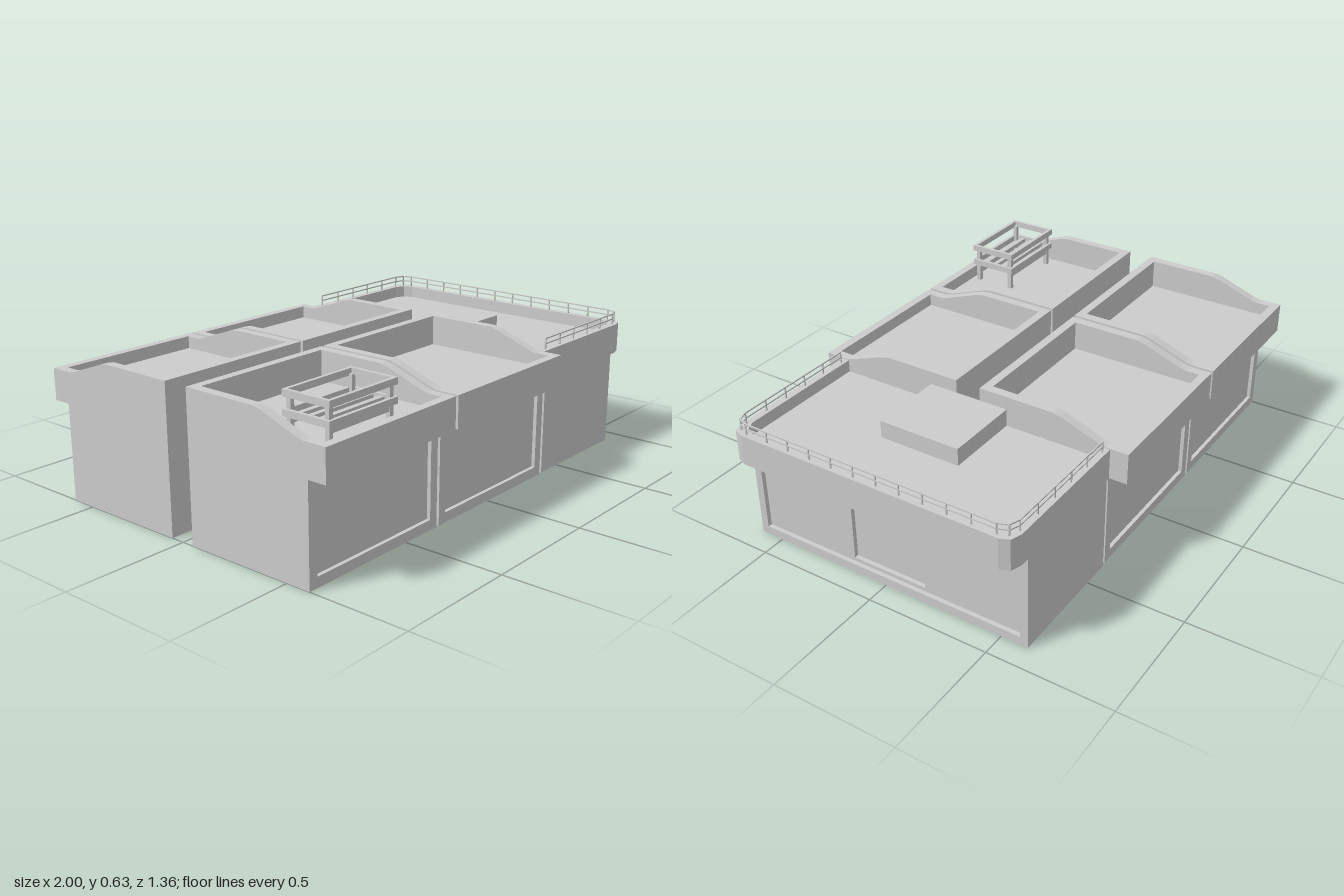
import * as THREE from 'three';

const grey = new THREE.MeshStandardMaterial({ color: 0xcccccc, flatShading: true });

function add(parent, name, geometry) {
  const mesh = new THREE.Mesh(geometry, grey);
  mesh.name = name;
  parent.add(mesh);
  return mesh;
}

// Box given by its limits on each axis
function box(parent, name, x0, x1, y0, y1, z0, z1) {
  const mesh = add(parent, name, new THREE.BoxGeometry(x1 - x0, y1 - y0, z1 - z0));
  mesh.position.set((x0 + x1) / 2, (y0 + y1) / 2, (z0 + z1) / 2);
  return mesh;
}

function polygon(points) {
  return new THREE.Shape(points.map(([x, y]) => new THREE.Vector2(x, y)));
}

function extrude(shape, depth) {
  return new THREE.ExtrudeGeometry(shape, { depth, bevelEnabled: false });
}

function rect(x0, x1, y0, y1) {
  return polygon([[x0, y0], [x1, y0], [x1, y1], [x0, y1]]);
}

// Flat wall frame with a rectangular opening
function frame(outer, hole, depth) {
  const shape = rect(...outer);
  shape.holes.push(rect(...hole));
  return extrude(shape, depth);
}

// One shop facing +z, centred on x
function makeShop(name) {
  const shop = new THREE.Group();
  shop.name = name;
  const w = 0.338;
  box(shop, 'shopBody', -w, w, 0, 0.46, 0.05, 0.585);
  add(shop, 'windowFrame', frame([-w, w, 0, 0.385], [-0.3, 0.3, 0.04, 0.35], 0.015))
    .position.z = 0.585;
  box(shop, 'overhang', -w, w, 0.385, 0.46, 0.585, 0.675);
  box(shop, 'frontParapet', -w, w, 0.46, 0.51, 0.64, 0.675);
  box(shop, 'rearParapet', -w, w, 0.46, 0.58, 0.05, 0.085);
  // Side parapets step down toward the street
  const side = polygon([[-0.05, 0.46], [-0.05, 0.58], [-0.365, 0.58], [-0.4, 0.572],
    [-0.555, 0.516], [-0.58, 0.51], [-0.675, 0.51], [-0.675, 0.46]]);
  for (const x of [-w, w - 0.038]) {
    const wall = add(shop, 'sideParapet', extrude(side, 0.038));
    wall.rotation.y = Math.PI / 2;
    wall.position.x = x;
  }
  return shop;
}

// Corner building with a chamfered, railed roof
function makeCornerBuilding() {
  const g = new THREE.Group();
  g.name = 'cornerBuilding';
  const h = 0.603;
  box(g, 'cornerBody', 0.385, 0.87, 0, 0.385, -h, h);

  // Street wall in two layers: window opening, then the deeper doorway
  const layers = [
    ['doorwayWall', [-0.16, 0.16, 0.05, 0.335], 0.87],
    ['windowFrame', [-0.572, 0.572, 0.035, 0.35], 0.8875],
  ];
  for (const [name, hole, x] of layers) {
    const wall = add(g, name, frame([-h, h, 0, 0.385], hole, 0.0175));
    wall.rotation.y = Math.PI / 2;
    wall.position.x = x;
  }
  box(g, 'doorTrim', 0.87, 0.892, 0.331, 0.337, -0.042, 0.042);

  // Roof slab and three-sided parapet
  const outer = [[0.37, -h], [0.94, -h], [0.985, -0.588], [1, -0.55],
    [1, 0.55], [0.985, 0.588], [0.94, h], [0.37, h]];
  const inner = [[0.37, 0.573], [0.915, 0.573], [0.955, 0.555], [0.97, 0.515],
    [0.97, -0.515], [0.955, -0.555], [0.915, -0.573], [0.37, -0.573]];
  const parts = [
    ['roofSlab', outer, 0.385, 0.075],
    ['cornerParapet', [...outer, ...inner], 0.46, 0.05],
  ];
  for (const [name, points, y, height] of parts) {
    const part = add(g, name, extrude(polygon(points), height));
    part.rotation.x = -Math.PI / 2;
    part.position.y = y;
  }
  box(g, 'roofHatch', 0.37, 0.68, 0.46, 0.53, -0.17, 0.17);

  // Railing along the parapet
  const t = 0.005;
  const path = [[0.4, -0.588], [0.93, -0.588], [0.97, -0.573], [0.985, -0.535],
    [0.985, 0.535], [0.97, 0.573], [0.93, 0.588], [0.4, 0.588]]
    .map(([x, z]) => new THREE.Vector3(x, 0, z));
  for (let i = 1; i < path.length; i++) {
    const a = path[i - 1], b = path[i];
    const posts = Math.max(1, Math.round(a.distanceTo(b) / 0.1));
    for (const y of [0.533, 0.554]) {
      const rail = add(g, 'rail', new THREE.BoxGeometry(t, t, a.distanceTo(b) + t));
      rail.position.copy(a).lerp(b, 0.5).setY(y);
      rail.rotation.y = Math.atan2(b.x - a.x, b.z - a.z);
    }
    for (let k = 0; k < posts + (i === path.length - 1 ? 1 : 0); k++) {
      const p = a.clone().lerp(b, k / posts);
      add(g, 'railPost', new THREE.BoxGeometry(t, 0.046, t)).position.set(p.x, 0.533, p.z);
    }
  }
  return g;
}

// Open metal rack standing on a shop roof
function makeRoofRack() {
  const g = new THREE.Group();
  g.name = 'roofRack';
  const x0 = -0.925, x1 = -0.585, z0 = 0.422, z1 = 0.625, b = 0.014;
  for (const [y0, y1] of [[0.537, 0.562], [0.604, 0.629]]) {
    for (const z of [z0, z1 - b]) box(g, 'rackLongBar', x0, x1, y0, y1, z, z + b);
    for (const x of [x0, x1 - b]) box(g, 'rackEndBar', x, x + b, y0, y1, z0, z1);
  }
  for (const x of [x0 + 0.01, x1 - 0.028])
    for (const z of [z0 + 0.01, z1 - 0.028])
      box(g, 'rackPost', x, x + 0.018, 0.46, 0.61, z, z + 0.018);
  for (const z of [z0 + 0.012, z1 - 0.026])
    box(g, 'rackSkirt', x0 + 0.02, x1 - 0.02, 0.514, 0.537, z, z + b);
  for (const z of [0.477, 0.523, 0.569])
    box(g, 'rackSlat', x0, x1, 0.54, 0.556, z - 0.01, z + 0.01);
  return g;
}

export function createModel() {
  const model = new THREE.Group();
  model.name = 'shopBlock';
  // Two shops on each street, back to back
  for (const [i, x] of [-0.662, 0.028].entries()) {
    const front = makeShop('frontShop' + (i + 1));
    front.position.x = x;
    const back = makeShop('backShop' + (i + 1));
    back.position.set(x, 0, -0.005);
    back.rotation.y = Math.PI;
    model.add(front, back);
  }
  const corner = makeCornerBuilding();
  corner.position.z = -0.006;
  model.add(corner, makeRoofRack());
  return model;
}
